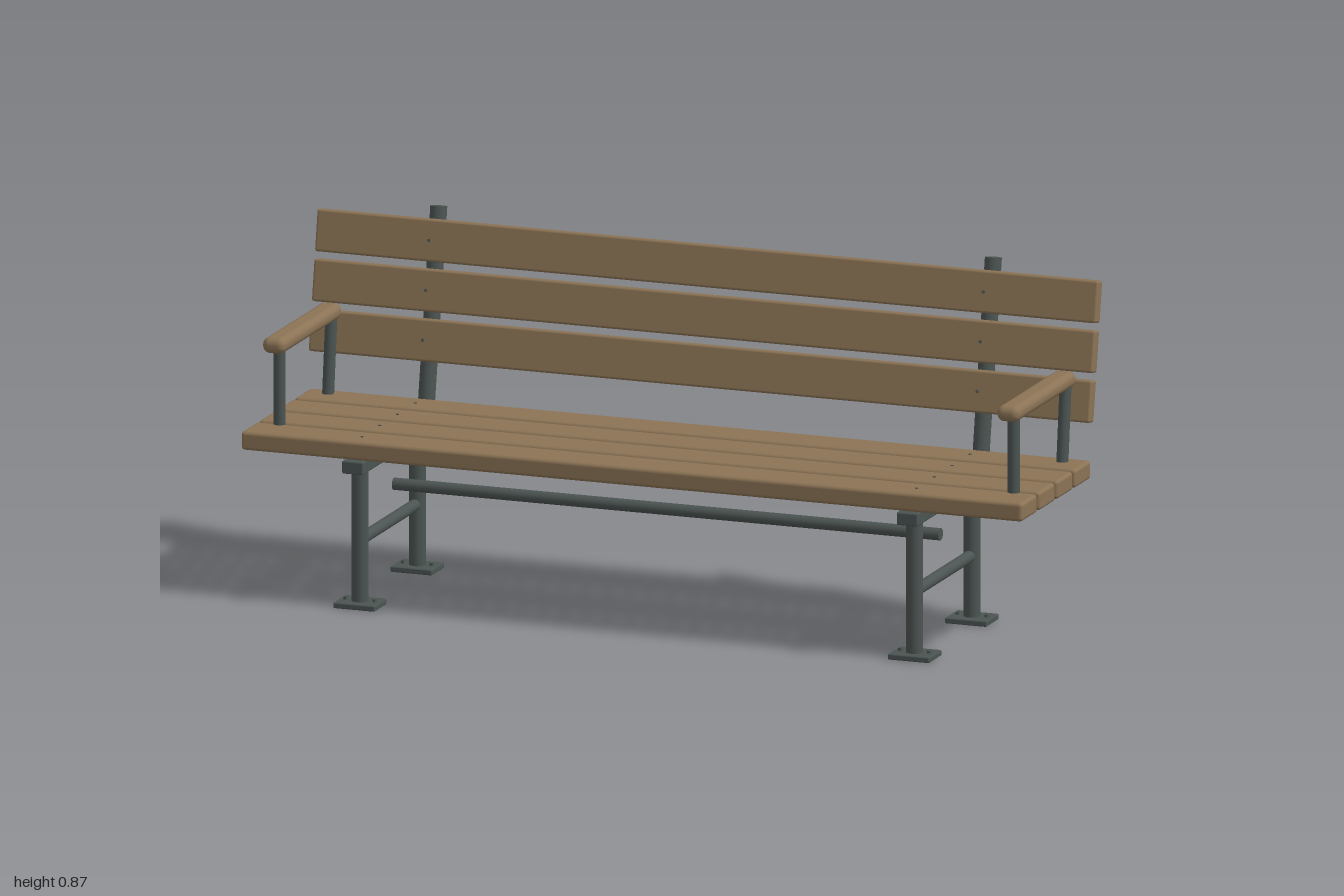
import * as THREE from 'three';
import { RoundedBoxGeometry } from 'three/addons/geometries/RoundedBoxGeometry.js';

const wood = new THREE.MeshStandardMaterial({ color: 0x8b7355 });
wood.name = 'weathered wood';
const steel = new THREE.MeshStandardMaterial({ color: 0x4b5452 });
steel.name = 'grey-green steel';

const UP = new THREE.Vector3(0, 1, 0);

function add(group, name, geometry, material, x, y, z, tilt = 0) {
  const mesh = new THREE.Mesh(geometry, material);
  mesh.name = name;
  mesh.position.set(x, y, z);
  mesh.rotation.x = tilt;
  group.add(mesh);
  return mesh;
}

// Round bar between two points
function bar(group, name, a, b, radius) {
  const from = new THREE.Vector3(...a);
  const to = new THREE.Vector3(...b);
  const dir = to.clone().sub(from);
  const mid = from.clone().add(to).multiplyScalar(0.5);
  const geometry = new THREE.CylinderGeometry(radius, radius, dir.length(), 24);
  const mesh = add(group, name, geometry, steel, mid.x, mid.y, mid.z);
  mesh.quaternion.setFromUnitVectors(UP, dir.normalize());
}

export function createModel() {
  const bench = new THREE.Group();
  bench.name = 'bench';

  const frameX = 0.71;
  const armX = 0.94;
  const lean = -0.176;
  const seatZ = [0.235, 0.116, -0.003, -0.122];
  const backSlats = [[0.556, -0.187], [0.674, -0.208], [0.792, -0.229]];

  // Seat and back slats
  const seatSlat = new RoundedBoxGeometry(2, 0.046, 0.106, 3, 0.009);
  for (const z of seatZ) add(bench, 'seatSlat', seatSlat, wood, 0, 0.392, z);
  const backSlat = new RoundedBoxGeometry(2, 0.102, 0.033, 3, 0.006);
  for (const [y, z] of backSlats) add(bench, 'backSlat', backSlat, wood, 0, y, z, lean);

  const rail = new RoundedBoxGeometry(0.054, 0.032, 0.48, 2, 0.004);
  const plate = new RoundedBoxGeometry(0.106, 0.014, 0.085, 2, 0.003);
  const bolt = new THREE.CylinderGeometry(0.005, 0.005, 0.008, 6);
  const screw = new THREE.CylinderGeometry(0.004, 0.004, 0.004, 10);
  const armrest = new RoundedBoxGeometry(0.058, 0.039, 0.4, 5, 0.018);

  for (const side of [-1, 1]) {
    // Support frame
    const frame = new THREE.Group();
    frame.name = side > 0 ? 'leftFrame' : 'rightFrame';
    bench.add(frame);
    const x = side * frameX;
    add(frame, 'seatRail', rail, steel, x, 0.353, 0.06);
    for (const z of [0.248, -0.135]) {
      bar(frame, z > 0 ? 'frontLeg' : 'rearLeg', [x, 0.01, z], [x, 0.345, z], 0.0205);
      add(frame, 'footPlate', plate, steel, x, 0.008, z);
      for (const dx of [-0.037, 0.037]) add(frame, 'footBolt', bolt, steel, x + dx, 0.018, z);
    }
    bar(frame, 'legStretcher', [x, 0.165, -0.125], [x, 0.165, 0.238], 0.0145);
    bar(frame, 'backPost', [x, 0.274, -0.174], [x, 0.865, -0.279], 0.0205);

    // Screw heads where slats meet the frame
    for (const z of seatZ) add(frame, 'seatScrew', screw, steel, x, 0.4145, z);
    for (const [y, z] of backSlats) {
      add(frame, 'backScrew', screw, steel, x, y + 0.003, z + 0.0165, Math.PI / 2 + lean);
    }

    // Armrest and its two posts
    const arm = new THREE.Group();
    arm.name = side > 0 ? 'leftArm' : 'rightArm';
    bench.add(arm);
    const ax = side * armX;
    add(arm, 'armrest', armrest, wood, ax, 0.616, 0.034);
    bar(arm, 'frontArmPost', [ax, 0.367, 0.186], [ax, 0.605, 0.186], 0.0145);
    bar(arm, 'rearArmPost', [ax, 0.367, -0.134], [ax, 0.6, -0.161], 0.0145);
  }

  // Long bar between the two frames
  bar(bench, 'crossBar', [-0.7, 0.257, 0.047], [0.7, 0.257, 0.047], 0.0148);

  return bench;
}
